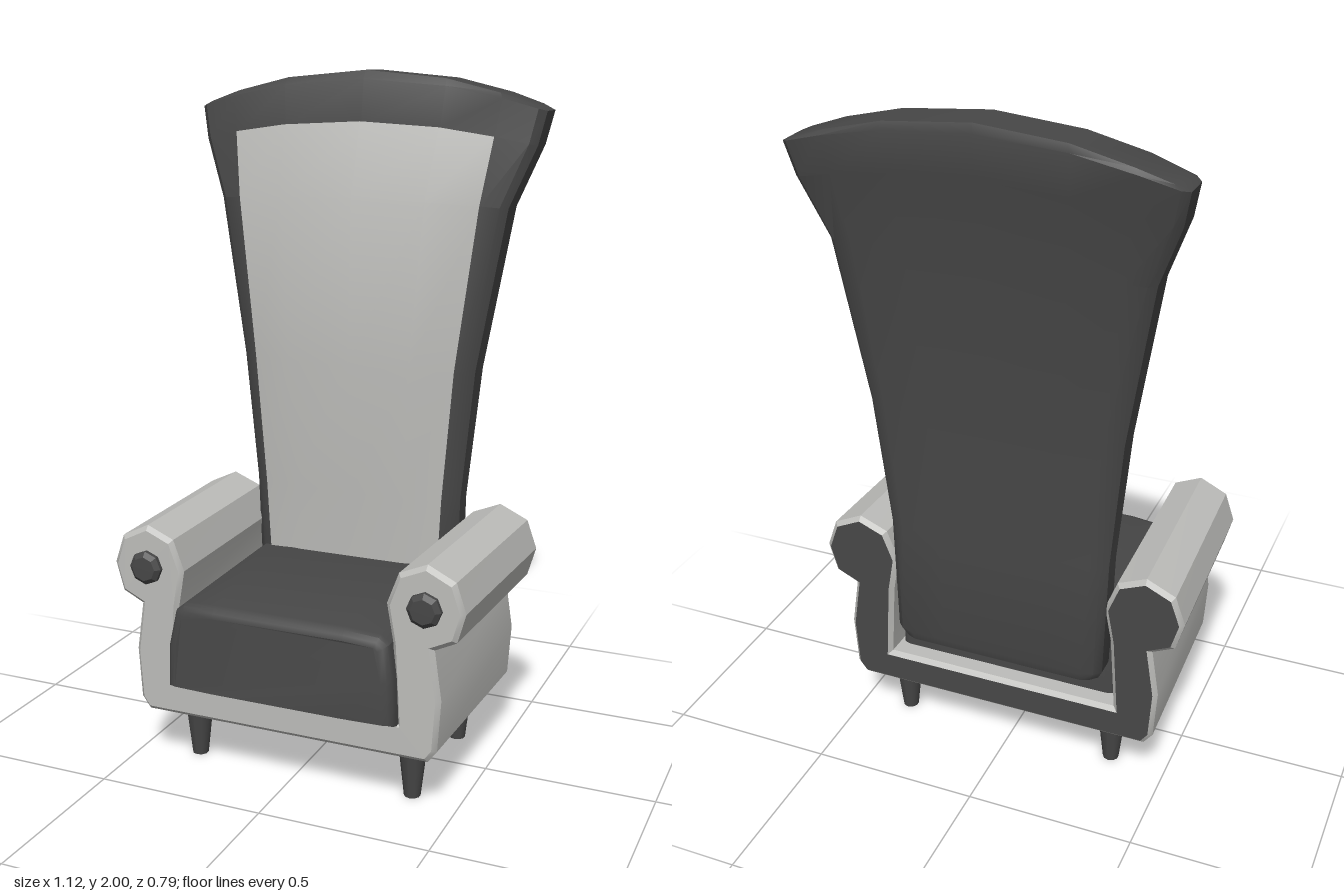
import * as THREE from 'three';
import { toCreasedNormals } from 'three/addons/utils/BufferGeometryUtils.js';

const mat = (name, color, side = THREE.FrontSide) => {
  const m = new THREE.MeshStandardMaterial({ color, side });
  m.name = name;
  return m;
};

// Mirror a right-hand outline (bottom to top, outside to inside) into a closed shape
function mirroredShape(half) {
  const all = [...half, ...half.slice().reverse().map(([x, y]) => [-x, y])];
  return new THREE.Shape(all.map(([x, y]) => new THREE.Vector2(x, y)));
}

// Extrude from z0 to z1 with a bevel kept inside the outline
function extrude(shape, z0, z1, bevel, segments) {
  const g = new THREE.ExtrudeGeometry(shape, {
    depth: z1 - z0 - 2 * bevel, bevelThickness: bevel, bevelSize: bevel,
    bevelOffset: -bevel, bevelSegments: segments,
  });
  return g.translate(0, 0, z0 + bevel);
}

function moveVertices(g, rule) {
  const p = g.attributes.position, v = new THREE.Vector3();
  for (let i = 0; i < p.count; i++) {
    rule(v.fromBufferAttribute(p, i));
    p.setXYZ(i, v.x, v.y, v.z);
  }
  return g;
}

// Sort triangles into two material groups by a rule on their normal and centre
function splitFaces(g, isSecond) {
  const p = g.attributes.position, lists = [[], []];
  const t = new THREE.Triangle(), n = new THREE.Vector3(), c = new THREE.Vector3();
  for (let i = 0; i < p.count; i += 3) {
    t.setFromAttributeAndIndices(p, i, i + 1, i + 2);
    t.getNormal(n);
    t.getMidpoint(c);
    lists[isSecond(n, c) ? 1 : 0].push(i, i + 1, i + 2);
  }
  g.setIndex([...lists[0], ...lists[1]]);
  g.clearGroups();
  g.addGroup(0, lists[0].length, 0);
  g.addGroup(lists[0].length, lists[1].length, 1);
  return g;
}

function build(points, index) {
  const g = new THREE.BufferGeometry();
  g.setAttribute('position', new THREE.Float32BufferAttribute(points.flat(), 3));
  g.setIndex(index);
  return toCreasedNormals(g, 0.65);
}

// Backrest rows: y, half width, back z, front z, panel half width, panel bulge, edge drop
const ROWS = [
  [0.36, 0.31, -0.295, -0.19, 0.265, 0.005, 0],
  [0.39, 0.325, -0.305, -0.18, 0.27, 0.01, 0],
  [0.75, 0.335, -0.297, -0.174, 0.288, 0.018, 0],
  [1.15, 0.373, -0.31, -0.172, 0.32, 0.042, 0.005],
  [1.64, 0.453, -0.337, -0.192, 0.378, 0.036, 0.02],
  [1.855, 0.522, -0.375, -0.23, 0.405, 0.006, 0.06],
  [1.975, 0.542, -0.394, -0.246, 0.42, 0, 0.085],
  [2.0, 0.525, -0.385, -0.262, 0.41, 0, 0.1],
];
const columns = (w, p) => [-(w - 0.02), -p, -0.6 * p, 0, 0.6 * p, p, w - 0.02];

function backrestGeometry() {
  const points = [], index = [], N = 18;
  const quad = (a, b, c, d) => index.push(a, b, c, a, c, d);
  for (const [y, w, zb, zf, p, , drop] of ROWS) {
    const xs = columns(w, p);
    const ring = [
      ...xs.map((x, i) => [x, i % 6 ? zf : zf - 0.012]),
      [w, zf - 0.035], [w, zb + 0.03],
      ...xs.slice().reverse().map((x, i) => [x, i % 6 ? zb : zb + 0.01]),
      [-w, zb + 0.03], [-w, zf - 0.035],
    ];
    ring.forEach(([x, z]) => points.push([x, y - drop * (x / w) ** 2, z]));
  }
  for (let r = 0; r < ROWS.length - 1; r++)
    for (let i = 0; i < N; i++) {
      const a = r * N + i, b = r * N + (i + 1) % N;
      quad(a, b, b + N, a + N);
    }
  // end caps zip the front of the ring to its back
  const top = (ROWS.length - 1) * N;
  for (let k = 0; k < 8; k++) {
    const a = (17 + k) % N, a2 = k, b = 16 - k, b2 = 15 - k;
    quad(top + a, top + a2, top + b2, top + b);
    quad(a, b, b2, a2);
  }
  return build(points, index);
}

function panelGeometry() {
  const points = [], index = [], rows = ROWS.slice(1, 6);
  for (const [y, w, , zf, p, bulge, drop] of rows)
    columns(w, p).slice(1, 6).forEach((x, i) => {
      points.push([x, y - drop * (x / w) ** 2, zf + 0.004 + (i % 4 ? bulge : 0)]);
    });
  for (let r = 0; r < rows.length - 1; r++)
    for (let i = 0; i < 4; i++) {
      const a = r * 5 + i;
      index.push(a, a + 1, a + 6, a, a + 6, a + 5);
    }
  return build(points, index);
}

export function createModel() {
  const light = mat('lightUpholstery', 0xbdbdba);
  const panelLight = light;
  const dark = mat('darkUpholstery', 0x474747);
  const model = new THREE.Group();
  model.name = 'highBackArmchair';
  const add = (name, geometry, material, x = 0, y = 0, z = 0) => {
    const m = new THREE.Mesh(geometry, material);
    m.name = name;
    m.position.set(x, y, z);
    model.add(m);
    return m;
  };

  // U-shaped frame with rolled arms, narrowing to the front; dark rear and underside
  const frameShape = mirroredShape([
    [0.455, 0.165], [0.482, 0.2], [0.492, 0.35], [0.47, 0.495], [0.535, 0.525], [0.56, 0.61],
    [0.53, 0.695], [0.445, 0.735], [0.36, 0.7], [0.325, 0.61], [0.345, 0.5], [0.36, 0.27],
  ]);
  let frame = extrude(frameShape, -0.275, 0.345, 0.013, 1);
  moveVertices(frame, (v) => { v.x *= 1 - 0.045 * (v.z + 0.275) / 0.62; });
  frame = splitFaces(toCreasedNormals(frame, 0.5),
    (n, c) => n.z < -0.9 || (n.y < -0.9 && c.y < 0.2));
  add('frameWithArms', frame, [light, dark]);

  // Seat cushion, rising to the back with a bowed front
  const seatShape = mirroredShape([
    [0, 0.265], [0.2, 0.265], [0.35, 0.265], [0.345, 0.4], [0.328, 0.5], [0.3, 0.522], [0.2, 0.53], [0, 0.532],
  ].slice(1, 7));
  const seat = extrude(seatShape, -0.22, 0.385, 0.03, 3);
  moveVertices(seat, (v) => {
    if (v.y > 0.4) v.y += 0.012 - 0.035 * Math.max(0, v.z);
    if (v.z > 0.3) v.z += 0.01 * (1 - (v.x / 0.35) ** 2) - (v.y > 0.4 ? 0.012 : 0);
    if (v.y < 0.31) v.y = Math.min(v.y, 0.275);
  });
  add('seatCushion', toCreasedNormals(seat, 0.6), dark);

  // Tall flared backrest with a raised front panel
  add('backrest', backrestGeometry(), dark);
  add('backrestPanel', panelGeometry(), panelLight);

  // Arm buttons and tapered legs
  const button = toCreasedNormals(new THREE.LatheGeometry(
    [[0.05, -0.02], [0.05, 0.015], [0.036, 0.027], [0, 0.028]].map(([x, y]) => new THREE.Vector2(x, y)), 8), 0.5);
  button.rotateX(Math.PI / 2);
  const leg = new THREE.CylinderGeometry(0.043, 0.024, 0.17, 10);
  for (const side of [-1, 1]) {
    const word = side > 0 ? 'left' : 'right';
    add(word + 'ArmButton', button, dark, side * 0.424, 0.612, 0.342);
    add(word + 'FrontLeg', leg, dark, 0.015 + side * 0.34, 0.085, 0.232);
    add(word + 'BackLeg', leg, dark, 0.015 + side * 0.34, 0.085, -0.17);
  }
  return model;
}
